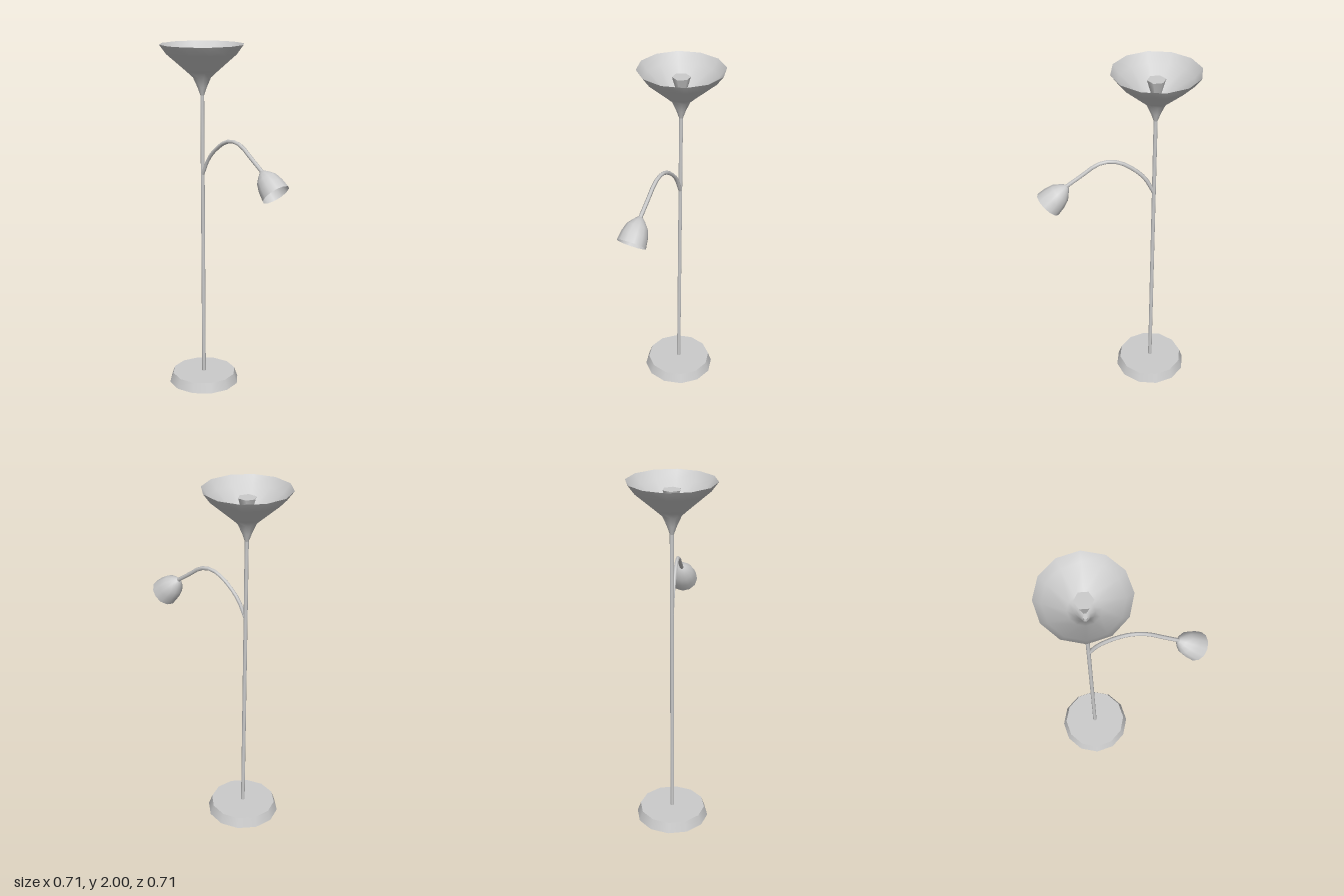
import * as THREE from 'three';

const POLE = -0.127; // x and z of the upright
const STEP = Math.PI / 12;

export function createModel() {
  const lamp = new THREE.Group();
  lamp.name = 'floorLamp';
  const solid = new THREE.MeshStandardMaterial({ color: 0xcccccc });
  const thin = new THREE.MeshStandardMaterial({ color: 0xcccccc, side: THREE.DoubleSide });

  const add = (name, geometry, material, x, y, z) => {
    const mesh = new THREE.Mesh(geometry, material);
    mesh.name = name;
    mesh.position.set(x, y, z);
    lamp.add(mesh);
    return mesh;
  };
  const lathe = (profile, sides, start) =>
    new THREE.LatheGeometry(profile.map(([r, y]) => new THREE.Vector2(r, y)), sides, start);

  // Twelve-sided tapered foot and slim upright
  add('base', new THREE.CylinderGeometry(0.187, 0.207, 0.057, 12, 1, false, STEP), solid, POLE, 0.0285, POLE);
  add('pole', new THREE.CylinderGeometry(0.011, 0.011, 1.71, 8), solid, POLE, 0.9, POLE);

  // Open uplight bowl with a flared neck
  const bowl = [[0.011, 1.72], [0.027, 1.765], [0.052, 1.82], [0.085, 1.85], [0.2, 1.95], [0.237, 2]];
  add('uplightBowl', lathe(bowl, 12, STEP), thin, POLE, 0, POLE);

  // Six-sided flared bulb inside the bowl
  add('bulb', new THREE.CylinderGeometry(0.05, 0.012, 0.13, 6, 1, false, 3 * STEP), solid, POLE, 1.89, POLE);

  // Gooseneck arm, bent in the diagonal plane x = z
  const armPath = [
    [POLE, 1.27], [-0.09, 1.37], [-0.04, 1.44], [0.01, 1.483],
    [0.05, 1.494], [0.095, 1.48], [0.15, 1.425], [0.215, 1.36],
  ].map(([d, y]) => new THREE.Vector3(d, y, d));
  const arm = new THREE.TubeGeometry(new THREE.CatmullRomCurve3(armPath), 14, 0.011, 6);
  add('readingArm', arm, thin, 0, 0, 0);

  // Reading shade, opening forward and down at 45 degrees
  const cup = [[0.001, 0], [0.014, 0], [0.035, 0.022], [0.059, 0.052], [0.073, 0.098], [0.08, 0.15]];
  const shade = add('readingShade', lathe(cup, 12, STEP), thin, 0.21, 1.364, 0.21);
  const aim = new THREE.Vector3(0.5, -Math.SQRT1_2, 0.5).normalize();
  shade.quaternion.setFromUnitVectors(new THREE.Vector3(0, 1, 0), aim);

  return lamp;
}
